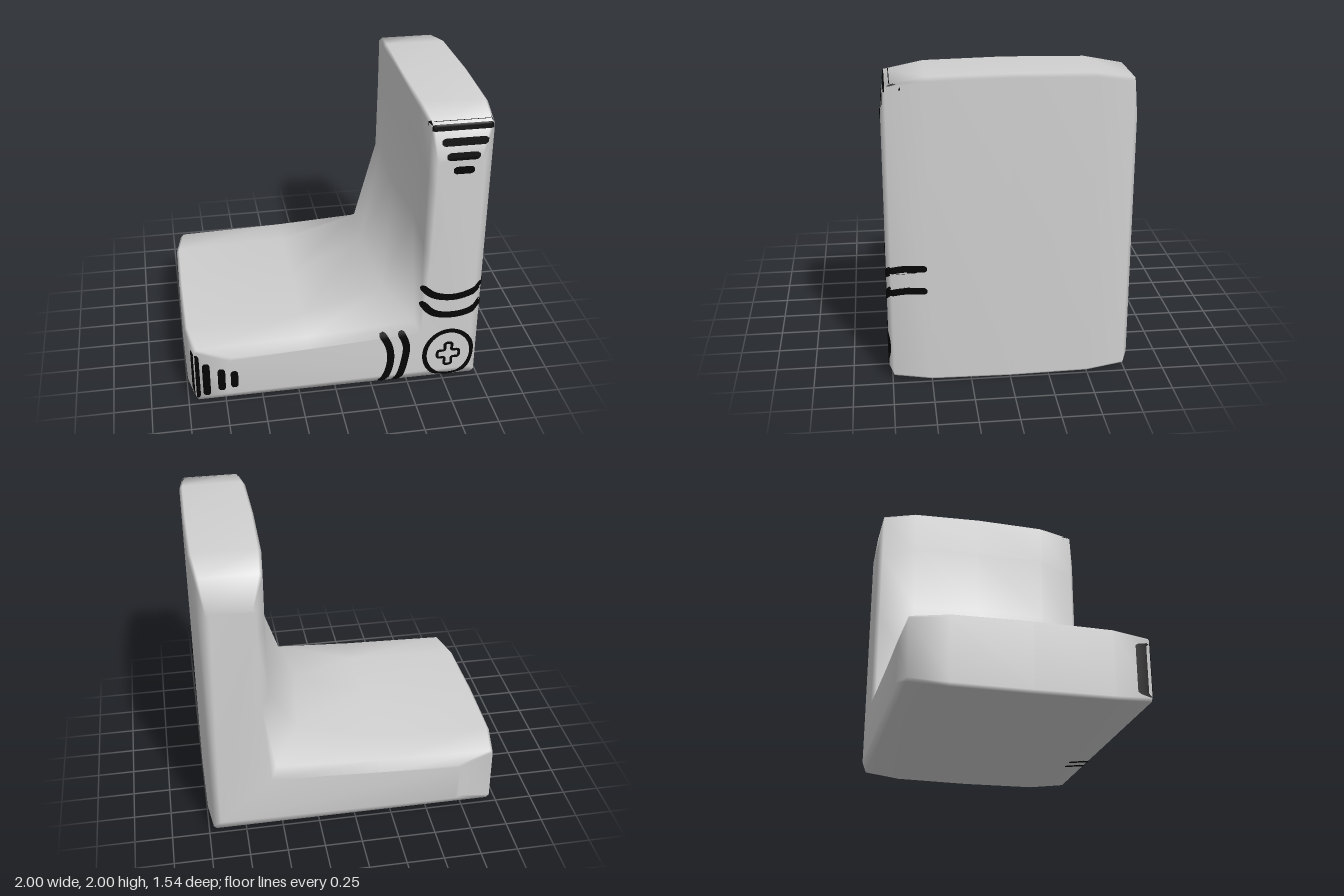
import * as THREE from 'three';

// Outline of the L at four depths, counter-clockwise from the lower left corner
const middle = [[-.98, 0], [.98, 0], [1, .02], [1, 1.98], [.98, 2], [.56, 2], [.545, 1.985],
  [.55, 1.7], [.52, 1.2], [.3, .7], [-.2, .49], [-.98, .46], [-1, .44], [-1, .02]];
const inner = [[-.975, .005], [.975, .005], [.995, .025], [.995, 1.97], [.975, 1.993], [.57, 1.993], [.55, 1.97],
  [.555, 1.7], [.55, 1.2], [.36, .64], [-.2, .475], [-.975, .455], [-.993, .435], [-.993, .025]];
const edge = [[-.93, .03], [.95, .03], [.97, .05], [.97, 1.93], [.95, 1.95], [.59, 1.95], [.57, 1.93],
  [.57, 1.6], [.565, 1.1], [.53, .5], [-.2, .46], [-.93, .44], [-.95, .42], [-.95, .05]];
const face = [[-.7, .08], [.9, .08], [.92, .1], [.92, 1.7], [.9, 1.72], [.64, 1.72], [.62, 1.7],
  [.62, 1.5], [.61, 1], [.57, .42], [-.2, .38], [-.7, .37], [-.72, .35], [-.72, .1]];
const stations = [[-.77, face], [-.74, edge], [-.5, inner], [0, middle], [.5, inner], [.74, edge], [.77, face]];

function bodyGeometry() {
  const n = middle.length, last = (stations.length - 1) * n, pos = [], idx = [];
  for (const [z, ring] of stations) for (const [x, y] of ring) pos.push(x, y, z);
  for (let k = 0; k < stations.length - 1; k++) {
    for (let i = 0; i < n; i++) {
      const a = k * n + i, b = k * n + (i + 1) % n;
      idx.push(a, b, b + n, a, b + n, a + n);
    }
  }
  // flat end faces
  const tris = THREE.ShapeUtils.triangulateShape(face.map(p => new THREE.Vector2(...p)), []);
  for (const [a, b, c] of tris) idx.push(a, c, b, last + a, last + b, last + c);
  const g = new THREE.BufferGeometry();
  g.setAttribute('position', new THREE.Float32BufferAttribute(pos, 3));
  g.setIndex(idx);
  g.computeVertexNormals();
  return g;
}

// Ways of laying a flat drawing onto the body: ray start, ray direction
const sides = {
  front: { from: (u, v) => [u, v, 3], dir: [0, 0, -1], rest: 2.26 },
  right: { from: (u, v) => [3, v, u], dir: [-1, 0, 0], rest: 2.03 },
  bottom: { from: (u, v) => [u, -3, v], dir: [0, 1, 0], rest: 3.03 },
};

// Painted stroke: a ribbon with rounded ends draped over the body
function strokeGeometry(body, side, points, width, closed = false) {
  const { from, dir, rest } = sides[side];
  const curve = new THREE.CatmullRomCurve3(points.map(p => new THREE.Vector3(p[0], p[1], 0)), closed);
  const rows = closed ? 64 : 28, cols = 4, length = curve.getLength();
  const ray = new THREE.Raycaster(), d = new THREE.Vector3(...dir), pos = [], idx = [];
  for (let r = 0; r <= rows; r++) {
    const t = r / rows, p = curve.getPointAt(t), tan = curve.getTangentAt(t);
    const end = Math.min(1, Math.min(t, 1 - t) * length / (width / 2));
    const w = closed ? width : width * Math.max(.45, Math.sqrt(1 - (1 - end) ** 2));
    for (let c = 0; c <= cols; c++) {
      const s = (c / cols - .5) * w;
      const o = new THREE.Vector3(...from(p.x - tan.y * s, p.y + tan.x * s));
      ray.set(o, d);
      const hit = ray.intersectObject(body)[0];
      o.addScaledVector(d, (hit ? hit.distance : rest) - .005);
      pos.push(o.x, o.y, o.z);
      if (r < rows && c < cols) {
        const a = r * (cols + 1) + c, b = a + cols + 1;
        idx.push(a, b, a + 1, b, b + 1, a + 1);
      }
    }
  }
  const g = new THREE.BufferGeometry();
  g.setAttribute('position', new THREE.Float32BufferAttribute(pos, 3));
  g.setIndex(idx);
  g.computeVertexNormals();
  return g;
}

export function createModel() {
  const group = new THREE.Group();
  const grey = new THREE.MeshStandardMaterial({ name: 'lightGrey', color: 0xd0d0d0 });
  const ink = new THREE.MeshStandardMaterial({ name: 'blackInk', color: 0x050505, side: THREE.DoubleSide });

  const body = new THREE.Mesh(bodyGeometry(), grey);
  body.name = 'bentBody';
  group.add(body);
  body.updateMatrixWorld();

  const paint = (name, side, points, width, closed) => {
    const mesh = new THREE.Mesh(strokeGeometry(body, side, points, width, closed), ink);
    mesh.name = name;
    group.add(mesh);
  };

  // Shrinking bars at the tip of each arm
  [[1.93, .565, .98], [1.83, .64, .935], [1.735, .675, .885], [1.64, .72, .855]].forEach(([y, a, b]) =>
    paint('upperBar', 'front', [[a, y], [b, y]], .052));
  [[-.943, .05, .4], [-.875, .07, .33], [-.775, .11, .285], [-.69, .13, .265]].forEach(([x, a, b]) =>
    paint('lowerBar', 'front', [[x, a], [x, b]], .05));

  // Curved bands on both sides of the joint
  paint('upperBand', 'front', [[.56, .79], [.65, .72], [.78, .695], [.9, .725], [.985, .785]], .05);
  paint('upperBand', 'front', [[.56, .67], [.65, .58], [.78, .555], [.9, .58], [.985, .655]], .05);
  paint('lowerBand', 'front', [[.3, .45], [.355, .34], [.37, .23], [.35, .12], [.3, .025]], .05);
  paint('lowerBand', 'front', [[.43, .45], [.475, .33], [.465, .2], [.44, .1], [.4, .025]], .05);

  // Band ends wrapping around the corners
  for (const y of [.785, .635]) paint('sideBand', 'right', [[.755, y - .015], [.66, y], [.52, y]], .045);
  for (const x of [.31, .41]) paint('bottomBand', 'bottom', [[x, .75], [x, .6]], .035);

  // Screw head at the joint: ring and rounded cross outline
  const cx = .77, cy = .235, ring = [];
  for (let i = 0; i < 16; i++) {
    const a = i * Math.PI / 8;
    ring.push([cx + .165 * Math.cos(a), cy + .185 * Math.sin(a)]);
  }
  paint('screwRing', 'front', ring, .032, true);
  const cross = [];
  for (let q = 0; q < 4; q++) {
    const c = Math.round(Math.cos(q * Math.PI / 2)), s = Math.round(Math.sin(q * Math.PI / 2));
    for (const [u, v] of [[.07, -.022], [.07, .022], [.026, .026]])
      cross.push([cx + u * c - v * s, cy - .005 + (u * s + v * c) * 1.2]);
  }
  paint('screwCross', 'front', cross, .02, true);

  return group;
}
